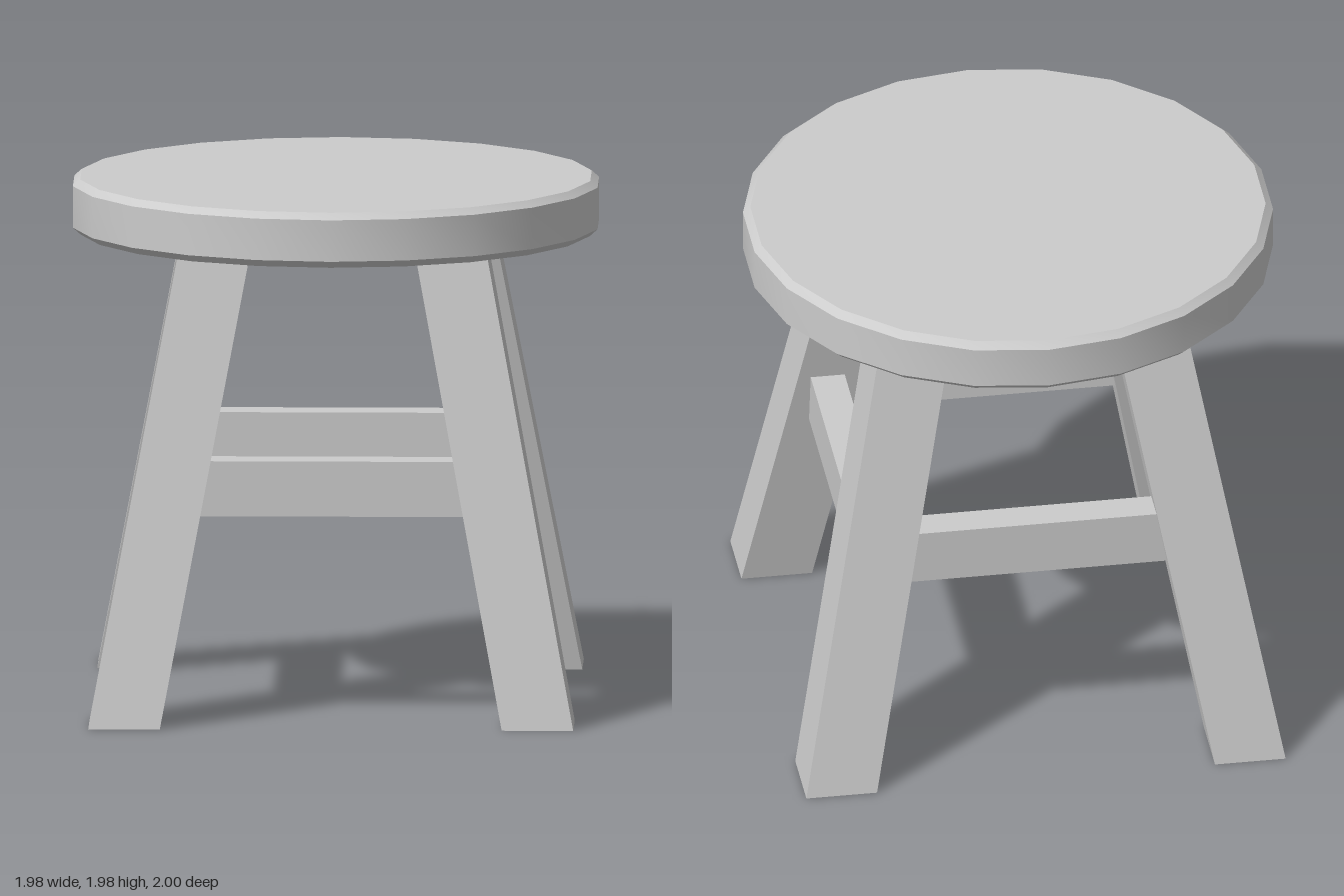
import * as THREE from 'three';
import { toCreasedNormals } from 'three/addons/utils/BufferGeometryUtils.js';

const material = new THREE.MeshStandardMaterial({ color: 0xcccccc });

// Box whose bottom and top rectangles [x0, x1, z0, z1] may differ
function taperedBox(name, y0, y1, bottom, top) {
  const geometry = new THREE.BoxGeometry(1, 1, 1);
  const p = geometry.attributes.position;
  for (let i = 0; i < p.count; i++) {
    const up = p.getY(i) > 0;
    const r = up ? top : bottom;
    p.setXYZ(i, p.getX(i) > 0 ? r[1] : r[0], up ? y1 : y0, p.getZ(i) > 0 ? r[3] : r[2]);
  }
  geometry.computeVertexNormals();
  const mesh = new THREE.Mesh(geometry, material);
  mesh.name = name;
  return mesh;
}

// Rectangle moved to another quadrant without turning its faces inside out
function mirrored([x0, x1, z0, z1], sx, sz) {
  return [
    Math.min(sx * x0, sx * x1), Math.max(sx * x0, sx * x1),
    Math.min(sz * z0, sz * z1), Math.max(sz * z0, sz * z1),
  ];
}

export function createModel() {
  const stool = new THREE.Group();
  stool.name = 'stool';

  // Round seat with chamfered rims
  const profile = [
    [0, 1.77], [0.97, 1.77], [1, 1.797], [1, 1.955], [0.972, 1.98], [0, 1.98],
  ].map(([r, y]) => new THREE.Vector2(r, y));
  const seat = new THREE.Mesh(toCreasedNormals(new THREE.LatheGeometry(profile, 22), 0.5), material);
  seat.name = 'seat';
  stool.add(seat);

  // Four splayed square legs
  const foot = [0.645, 0.915, 0.655, 0.925];
  const head = [0.31, 0.58, 0.32, 0.59];
  for (const sx of [-1, 1]) {
    for (const sz of [-1, 1]) {
      const name = (sz > 0 ? 'front' : 'back') + (sx > 0 ? 'Left' : 'Right') + 'Leg';
      stool.add(taperedBox(name, 0, 1.775, mirrored(foot, sx, sz), mirrored(head, sx, sz)));
    }
  }

  // Stretchers between the legs, ends cut to the slope of the legs
  const y0 = 0.78, y1 = 0.99;
  for (const s of [-1, 1]) {
    stool.add(taperedBox(s > 0 ? 'frontStretcher' : 'backStretcher', y0, y1,
      mirrored([-0.5, 0.5, 0.565, 0.695], 1, s),
      mirrored([-0.46, 0.46, 0.565, 0.695], 1, s)));
    stool.add(taperedBox(s > 0 ? 'leftStretcher' : 'rightStretcher', y0, y1,
      mirrored([0.55, 0.68, -0.495, 0.51], s, 1),
      mirrored([0.55, 0.68, -0.457, 0.472], s, 1)));
  }

  return stool;
}
